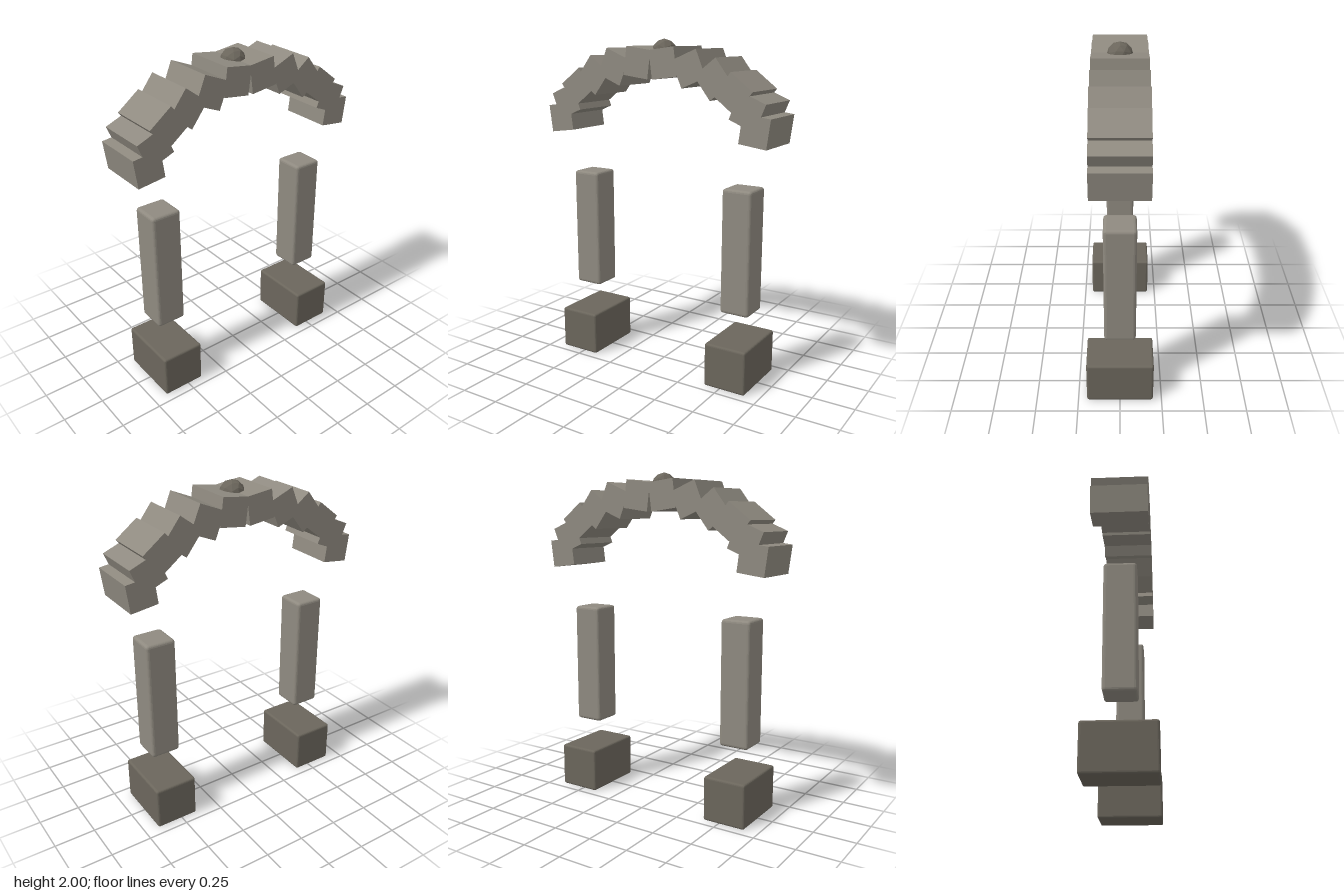
import * as THREE from 'three';
import { RoundedBoxGeometry } from 'three/addons/geometries/RoundedBoxGeometry.js';

export function createModel() {
  const group = new THREE.Group();
  const stone = new THREE.MeshStandardMaterial({ color: 0x8f8a80, flatShading: true });
  const darkStone = new THREE.MeshStandardMaterial({ color: 0x6b665c, flatShading: true });

  const add = (name, geometry, material, x, y, parent = group) => {
    const mesh = new THREE.Mesh(geometry, material);
    mesh.name = name;
    mesh.position.set(x, y, 0);
    parent.add(mesh);
    return mesh;
  };

  // Plinths and pillars, one pair on each side
  const plinth = new RoundedBoxGeometry(0.264, 0.267, 0.397, 2, 0.013);
  const pillar = new RoundedBoxGeometry(0.183, 0.745, 0.183, 2, 0.018);
  for (const [side, s] of [['left', 1], ['right', -1]]) {
    add(side + 'Plinth', plinth, darkStone, s * 0.532, 0.1335);
    add(side + 'Pillar', pillar, stone, s * 0.532, 0.803);
  }

  // Arch: twelve blocks along a half ellipse, each tilted against the curve
  const arch = new THREE.Group();
  arch.name = 'arch';
  group.add(arch);
  const block = new THREE.BoxGeometry(0.166, 0.166, 0.317);
  const count = 12;
  for (let i = 0; i < count; i++) {
    const a = ((i + 0.5) / count - 0.5) * Math.PI;
    const mesh = add('archBlock' + (i + 1), block, stone,
      0.668 * Math.sin(a), 1.467 + 0.402 * Math.cos(a), arch);
    mesh.rotation.z = a;
  }

  // Faceted ball at the crown
  add('crownBall', new THREE.IcosahedronGeometry(0.074, 1), darkStone, 0, 1.926);

  return group;
}
